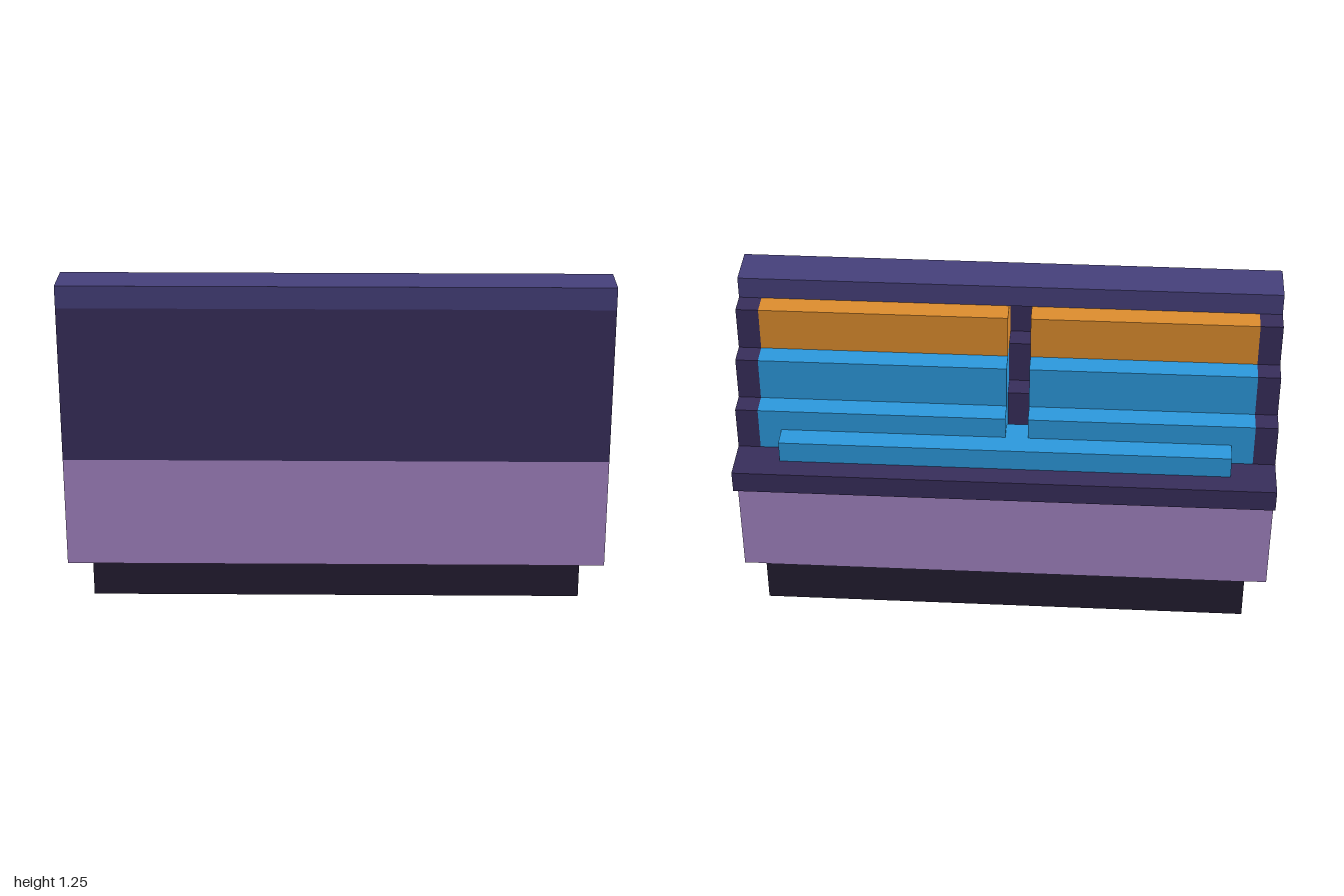
import * as THREE from 'three';

const U = 1 / 12; // the model sits on a grid of 1/12 unit

const mats = {};
for (const [name, color] of Object.entries({
  base: 0x221c30, body: 0xa182c0, shell: 0x372d5a, cap: 0x453f7a, blue: 0x2b98dc, orange: 0xdc8c2d,
})) mats[name] = new THREE.MeshStandardMaterial({ color });

export function createModel() {
  const model = new THREE.Group();
  model.name = 'steppedConsole';

  // box from grid limits on each axis
  const box = (name, mat, [x0, x1], [y0, y1], [z0, z1]) => {
    const geo = new THREE.BoxGeometry((x1 - x0) * U, (y1 - y0) * U, (z1 - z0) * U);
    const mesh = new THREE.Mesh(geo, mats[mat]);
    mesh.position.set((x0 + x1) / 2 * U, (y0 + y1) / 2 * U, (z0 + z1) / 2 * U);
    mesh.name = name;
    model.add(mesh);
  };

  // plinth, lower body and overhanging shelf
  box('base', 'base', [-11, 11], [0, 2], [-2.5, 2.5]);
  box('body', 'body', [-12, 12], [2, 7], [-2.5, 3.5]);
  box('shelf', 'shell', [-12, 12], [7, 8], [-3.5, 3.5]);

  // low ledge in front of the tiers
  box('ledge', 'blue', [-10, 10], [8, 9], [-2.5, -0.5]);

  // three tiers, each set one step further in, split by a narrow gap
  ['blue', 'blue', 'orange'].forEach((color, i) => {
    const y = [8 + 2 * i, 10 + 2 * i];
    const z = -1.5 + i;
    box('tierBlockLeft', color, [0, 11], y, [z, z + 2]);
    box('tierBlockRight', color, [-11, -1], y, [z, z + 2]);
    box('tierBacking', 'shell', [-11, 11], y, [z + 2, 3.5]);
    box('endPanelLeft', 'shell', [11, 12], y, [z, 3.5]);
    box('endPanelRight', 'shell', [-12, -11], y, [z, 3.5]);
  });

  // top rail
  box('cap', 'cap', [-12, 12], [14, 15], [1.5, 3.5]);

  return model;
}
